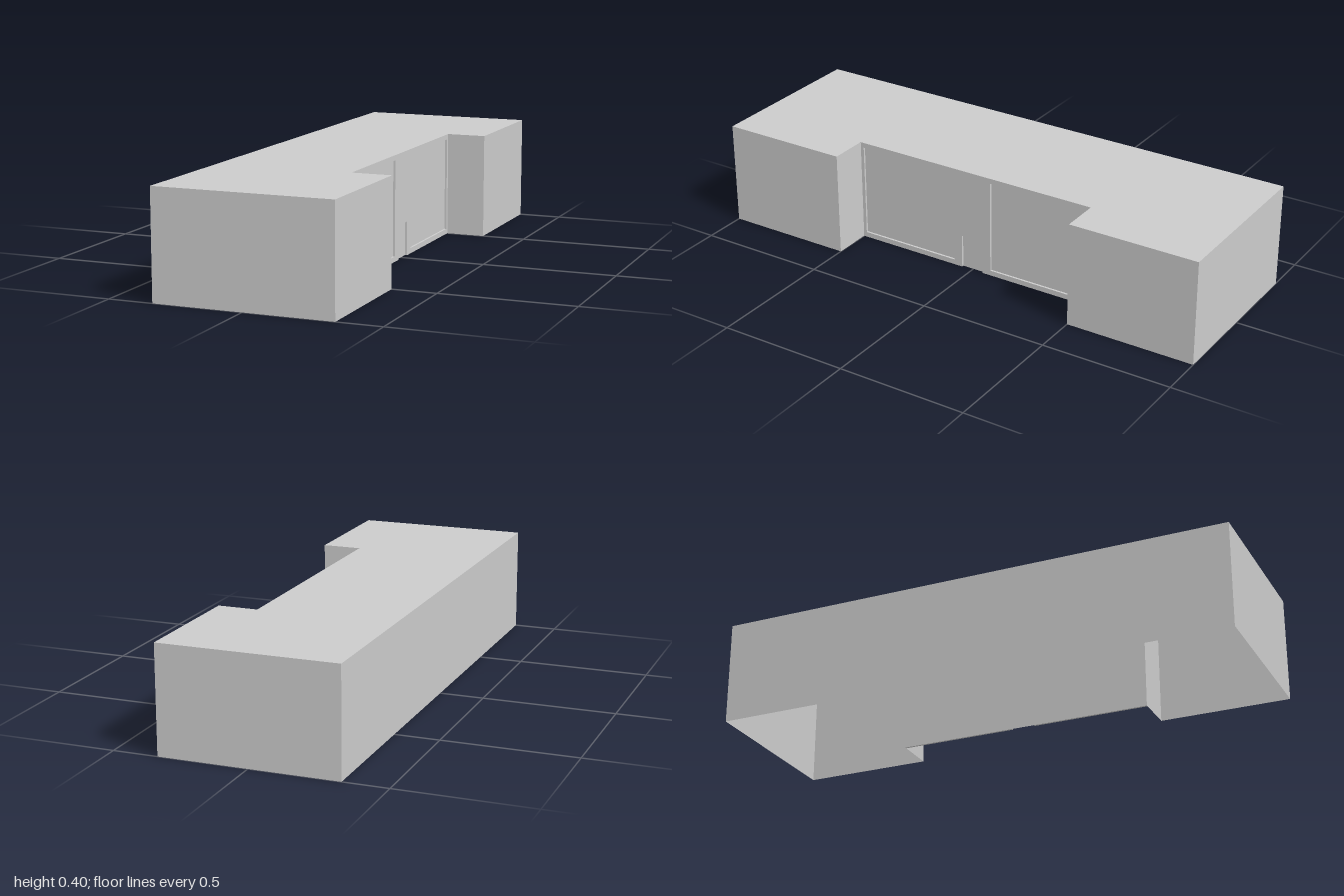
import * as THREE from 'three';

const HEIGHT = 0.4, HALF_W = 0.333, RECESS_X = 0.183, REVEAL = 0.008;

export function createModel() {
  const model = new THREE.Group();
  const material = new THREE.MeshStandardMaterial({
    color: 0xcccccc, flatShading: true, side: THREE.DoubleSide,
  });
  const add = (name, geometry, x = 0, y = 0, z = 0) => {
    const mesh = new THREE.Mesh(geometry, material);
    mesh.name = name;
    mesh.position.set(x, y, z);
    model.add(mesh);
  };

  // Plan outline (x, z): a long block with a shallow entrance recess on +x
  const plan = [
    [-HALF_W, 1], [HALF_W, 1], [HALF_W, 0.5], [RECESS_X, 0.5],
    [RECESS_X, -0.5], [HALF_W, -0.5], [HALF_W, -1], [-HALF_W, -1],
  ];
  const names = ['frontWall', 'frontWingWall', 'frontRecessReturn', null,
    'backRecessReturn', 'backWingWall', 'backWall', 'rearLongWall'];

  // Flat roof; the underside stays open
  const roof = new THREE.ShapeGeometry(
    new THREE.Shape(plan.map(([x, z]) => new THREE.Vector2(x, -z))));
  add('roof', roof.rotateX(-Math.PI / 2), 0, HEIGHT, 0);

  // Thin outer walls along the outline, except the entrance wall
  plan.forEach(([x1, z1], i) => {
    if (!names[i]) return;
    const [x2, z2] = plan[(i + 1) % plan.length];
    const wall = new THREE.PlaneGeometry(Math.hypot(x2 - x1, z2 - z1), HEIGHT);
    wall.rotateY(Math.atan2(z1 - z2, x2 - x1));
    add(names[i], wall, (x1 + x2) / 2, HEIGHT / 2, (z1 + z2) / 2);
  });

  // Entrance wall with a door notch and two large window openings
  const face = new THREE.Shape([
    [-0.5, 0], [-0.045, 0], [-0.045, 0.13], [0.045, 0.13],
    [0.045, 0], [0.5, 0], [0.5, HEIGHT], [-0.5, HEIGHT],
  ].map(([x, y]) => new THREE.Vector2(x, y)));
  for (const s of [-1, 1]) {
    face.holes.push(new THREE.Path([
      [0.08, 0.02], [0.08, 0.38], [0.487, 0.38], [0.487, 0.02],
    ].map(([x, y]) => new THREE.Vector2(s * x, y))));
  }
  const entrance = new THREE.ExtrudeGeometry(face, { depth: REVEAL, bevelEnabled: false });
  add('entranceWall', entrance.rotateY(Math.PI / 2), RECESS_X - REVEAL, 0, 0);

  // Panes and door leaf set just behind the openings
  const panel = (name, width, height, y, z) =>
    add(name, new THREE.PlaneGeometry(width, height).rotateY(Math.PI / 2),
      RECESS_X - REVEAL, y, z);
  panel('frontWindowPane', 0.407, 0.36, 0.2, 0.2835);
  panel('backWindowPane', 0.407, 0.36, 0.2, -0.2835);
  panel('door', 0.09, 0.13, 0.065, 0);

  return model;
}
